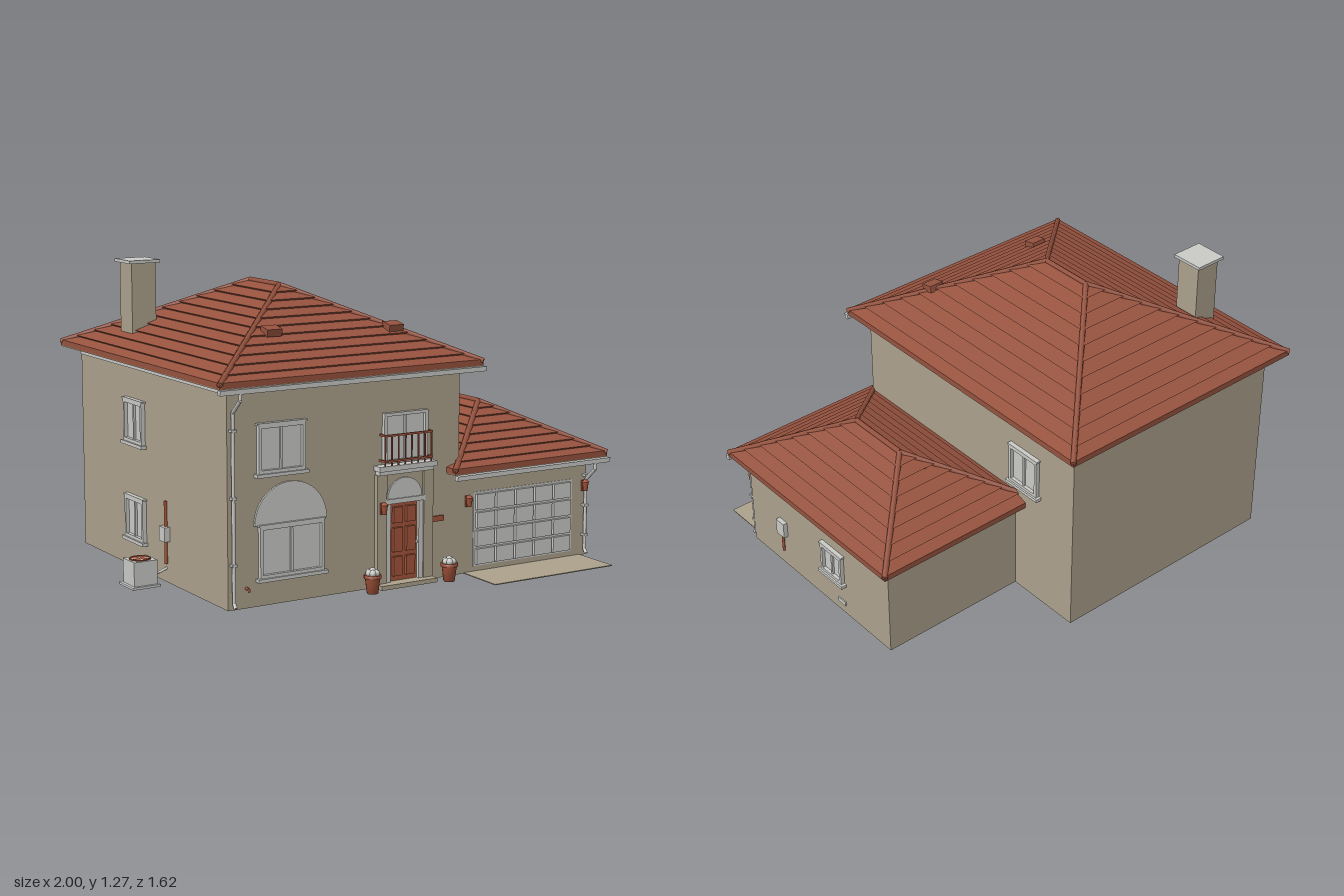
import * as THREE from 'three';

const mat = (name, color) => {
  const m = new THREE.MeshStandardMaterial({ color });
  m.name = name;
  return m;
};

export function createModel() {
  const stucco = mat('stucco', 0xaea28d);
  const trim = mat('paleTrim', 0xcbcbc8);
  const clay = mat('terracotta', 0xa4543b);
  const tile = mat('roofTile', 0x97533f);
  const house = new THREE.Group();
  house.name = 'house';

  const add = (name, geo, m, parent = house) => {
    const mesh = new THREE.Mesh(geo, m);
    mesh.name = name;
    parent.add(mesh);
    return mesh;
  };
  // Box given by its min and max along each axis
  const box = (name, m, x0, x1, y0, y1, z0, z1, parent = house) => {
    const mesh = add(name, new THREE.BoxGeometry(x1 - x0, y1 - y0, z1 - z0), m, parent);
    mesh.position.set((x0 + x1) / 2, (y0 + y1) / 2, (z0 + z1) / 2);
  };
  // Round bar between two points
  const rod = (name, m, a, b, r, sides = 6) => {
    const p = new THREE.Vector3(...a), q = new THREE.Vector3(...b);
    const d = q.clone().sub(p);
    const mesh = add(name, new THREE.CylinderGeometry(r, r, d.length(), sides), m);
    mesh.position.copy(p).add(q).multiplyScalar(0.5);
    mesh.quaternion.setFromUnitVectors(new THREE.Vector3(0, 1, 0), d.normalize());
  };
  const pipe = (name, m, pts, r) => {
    for (let i = 1; i < pts.length; i++) rod(name, m, pts[i - 1], pts[i], r, 8);
  };
  const halfDisc = (name, m, x, y, z, r, depth) => {
    const s = new THREE.Shape();
    s.absarc(0, 0, r, 0, Math.PI);
    s.closePath();
    const geo = new THREE.ExtrudeGeometry(s, { depth, bevelEnabled: false, curveSegments: 24 });
    add(name, geo, m).position.set(x, y, z);
  };

  // Hollow wall shell, open below
  const walls = (name, x0, x1, z0, z1, h) => {
    const t = 0.012;
    box(name, stucco, x0, x1, 0, h, z1 - t, z1);
    box(name, stucco, x0, x1, 0, h, z0, z0 + t);
    box(name, stucco, x0, x0 + t, 0, h, z0 + t, z1 - t);
    box(name, stucco, x1 - t, x1, 0, h, z0 + t, z1 - t);
  };

  // Hip roof of overlapping tile courses with ridge and hip caps
  const hipRoof = (name, x0, x1, z0, z1, r0, r1, eave, top, n) => {
    const cx = (x0 + x1) / 2, L = THREE.MathUtils.lerp, base = eave + 0.013;
    const ring = (t, y) => {
      const a = L(x0, cx, t), b = L(x1, cx, t), c = L(z0, r0, t), d = L(z1, r1, t);
      return [[a, y, d], [b, y, d], [b, y, c], [a, y, c]];
    };
    const rings = [ring(0, eave)];
    for (let i = 0; i < n; i++) {
      const t = Math.max(0, i - 0.15) / n;
      rings.push(ring(t, L(base, top, t) + 0.011));
      rings.push(ring((i + 1) / n, L(base, top, (i + 1) / n)));
    }
    const pos = [];
    for (let i = 1; i < rings.length; i++) {
      for (let k = 0; k < 4; k++) {
        const j = (k + 1) % 4, lo = rings[i - 1], hi = rings[i];
        pos.push(...lo[k], ...lo[j], ...hi[j], ...lo[k], ...hi[j], ...hi[k]);
      }
    }
    const geo = new THREE.BufferGeometry();
    geo.setAttribute('position', new THREE.Float32BufferAttribute(pos, 3));
    geo.computeVertexNormals();
    add(name + 'Tiles', geo, tile);
    const a = [cx, top, r0], b = [cx, top, r1];
    rod(name + 'RidgeCap', tile, a, b, 0.012);
    for (const x of [x0, x1]) {
      rod(name + 'HipCap', tile, [x, base + 0.004, z0], a, 0.012);
      rod(name + 'HipCap', tile, [x, base + 0.004, z1], b, 0.012);
    }
    box(name + 'Soffit', stucco, x0 + 0.002, x1 - 0.002, eave - 0.004, eave + 0.004, z0 + 0.002, z1 - 0.002);
  };

  // Main block and garage
  walls('mainWalls', -0.82, 0.26, -0.735, 0.583, 0.875);
  walls('garageWalls', 0.255, 0.93, -0.385, 0.581, 0.435);
  hipRoof('mainRoof', -0.885, 0.33, -0.805, 0.65, -0.2, 0.045, 0.88, 1.187, 11);
  hipRoof('garageRoof', 0.2, 0.99, -0.447, 0.645, -0.045, 0.25, 0.437, 0.655, 8);

  // Frieze boards under the eaves
  const frieze = (x0, x1, z0, z1, y0, y1) => {
    box('frieze', trim, x0, x1, y0, y1, z1, z1 + 0.004);
    box('frieze', trim, x1, x1 + 0.004, y0, y1, z0, z1);
    box('frieze', trim, x0 - 0.004, x0, y0, y1, z0, z1);
  };
  frieze(-0.82, 0.26, -0.735, 0.583, 0.845, 0.876);
  frieze(0.265, 0.93, -0.385, 0.581, 0.41, 0.434);

  // Gutters and downspouts
  for (const [x0, x1, y, px] of [[-0.89, 0.335, 0.877, -0.8], [0.2, 0.99, 0.434, 0.918]]) {
    box('gutter', trim, x0, x1, y - 0.02, y, 0.643, 0.664);
    box('gutterLip', trim, x0, x1, y - 0.006, y, 0.664, 0.668);
    pipe('downspout', trim, [[px, y - 0.02, 0.656], [px, y - 0.045, 0.656], [px, y - 0.1, 0.595], [px, 0.03, 0.595], [px, 0.012, 0.607]], 0.0075);
    for (const s of [0.2, 0.5, 0.8]) box('pipeBracket', trim, px - 0.011, px + 0.011, y * s, y * s + 0.01, 0.58, 0.605);
  }

  // Chimney
  box('chimneyStack', stucco, -0.742, -0.63, 0.9, 1.263, -0.497, -0.384);
  box('chimneyCap', trim, -0.757, -0.615, 1.262, 1.275, -0.515, -0.371);

  // Roof vents
  for (const [x, y, z] of [[-0.5, 1.045, 0.37], [0.055, 1.03, 0.398]]) {
    const v = add('roofVent', new THREE.BoxGeometry(0.068, 0.03, 0.056), tile);
    v.position.set(x, y, z);
    v.rotation.x = 0.2;
  }

  // Window facing +z, turned to its wall
  const windowUnit = (x, y, z, w, h, turn = 0, sill = true) => {
    const g = new THREE.Group();
    g.name = 'window';
    g.position.set(x, y, z);
    g.rotation.y = turn;
    house.add(g);
    const a = w / 2, b = h / 2, f = 0.013;
    box('glass', trim, -a, a, -b, b, -0.018, 0.003, g);
    for (const s of [-1, 1]) {
      box('jamb', trim, s * (a - f / 2) - f / 2, s * (a - f / 2) + f / 2, -b, b, 0, 0.018, g);
      box('rail', trim, -a + f, a - f, s * (b - f / 2) - f / 2, s * (b - f / 2) + f / 2, 0, 0.018, g);
    }
    box('mullion', trim, -0.005, 0.005, -b + f, b - f, 0, 0.012, g);
    if (sill) {
      box('sill', trim, -a - 0.012, a + 0.012, -b - 0.014, -b, -0.018, 0.026, g);
      box('lintel', trim, -a - 0.006, a + 0.006, b, b + 0.008, 0, 0.02, g);
    }
  };
  windowUnit(-0.585, 0.622, 0.583, 0.21, 0.19);
  windowUnit(-0.54, 0.215, 0.583, 0.29, 0.205);
  windowUnit(-0.01, 0.61, 0.583, 0.21, 0.205, 0, false);
  windowUnit(0.26, 0.63, -0.445, 0.17, 0.175, Math.PI / 2);
  windowUnit(0.93, 0.23, -0.012, 0.14, 0.135, Math.PI / 2);
  for (const y of [0.625, 0.215]) windowUnit(-0.82, y, -0.205, 0.17, 0.175, -Math.PI / 2);
  halfDisc('windowArch', trim, -0.542, 0.322, 0.58, 0.163, 0.012);

  // Entrance surround
  const cx = -0.015;
  for (const s of [-1, 1]) {
    const p = cx + s * 0.112, q = cx + s * 0.08;
    box('pilaster', stucco, p - 0.023, p + 0.023, 0, 0.465, 0.575, 0.605);
    box('doorJamb', trim, q - 0.012, q + 0.012, 0.015, 0.345, 0.575, 0.6);
  }
  box('portalHead', stucco, cx - 0.09, cx + 0.09, 0.36, 0.465, 0.575, 0.593);
  box('doorLintel', trim, cx - 0.095, cx + 0.095, 0.342, 0.362, 0.575, 0.606);
  halfDisc('fanlight', trim, cx, 0.362, 0.592, 0.083, 0.008);
  box('lowerCornice', trim, cx - 0.13, cx + 0.13, 0.465, 0.482, 0.575, 0.615);
  box('upperCornice', trim, cx - 0.138, cx + 0.138, 0.482, 0.503, 0.575, 0.628);
  box('doorStep', stucco, cx - 0.135, cx + 0.135, 0, 0.018, 0.575, 0.64);

  // Panelled front door
  box('frontDoor', clay, cx - 0.068, cx + 0.068, 0.018, 0.342, 0.565, 0.586);
  for (const s of [-1, 1]) for (const [y0, y1] of [[0.04, 0.12], [0.14, 0.24], [0.26, 0.325]]) {
    const x = cx + s * 0.031;
    box('doorPanel', clay, x - 0.021, x + 0.021, y0, y1, 0.586, 0.6);
  }
  add('doorKnob', new THREE.SphereGeometry(0.007, 8, 6), trim).position.set(0.044, 0.17, 0.594);

  // Balcony railing
  const bx0 = -0.125, bx1 = 0.097, bz = 0.622;
  for (const y of [0.522, 0.626]) {
    box('balconyRail', clay, bx0, bx1, y - 0.004, y + 0.004, bz - 0.004, bz + 0.004);
    for (const x of [bx0, bx1]) box('balconySideRail', clay, x - 0.004, x + 0.004, y - 0.004, y + 0.004, 0.583, bz + 0.004);
  }
  for (let i = 0; i <= 7; i++) {
    const x = THREE.MathUtils.lerp(bx0, bx1, i / 7);
    rod('baluster', clay, [x, 0.503, bz], [x, 0.626, bz], 0.0035);
  }

  // Sectional garage door
  box('garageDoor', trim, 0.337, 0.853, 0.025, 0.34, 0.565, 0.584);
  for (let r = 0; r < 4; r++) for (let c = 0; c < 5; c++) {
    const x = 0.347 + c * 0.1, y = 0.034 + r * 0.077;
    box('garagePanel', trim, x, x + 0.09, y, y + 0.066, 0.584, 0.598);
  }
  box('driveway', stucco, 0.29, 0.9, 0, 0.004, 0.583, 0.805);

  // Wall lanterns and plaque
  for (const [x, y] of [[0.303, 0.305], [0.912, 0.305], [-0.13, 0.328]]) {
    const z = x < 0 ? 0.605 : 0.581;
    box('lanternPlate', clay, x - 0.008, x + 0.008, y - 0.022, y + 0.025, z, z + 0.008);
    add('lanternBody', new THREE.CylinderGeometry(0.014, 0.009, 0.038, 6), clay).position.set(x, y, z + 0.02);
    add('lanternCap', new THREE.ConeGeometry(0.018, 0.014, 6), clay).position.set(x, y + 0.026, z + 0.02);
  }
  box('plaque', clay, 0.122, 0.184, 0.24, 0.263, 0.58, 0.59);

  // Potted plants
  const profile = [[0, 0], [0.023, 0], [0.031, 0.062], [0.036, 0.062], [0.036, 0.076], [0.03, 0.076], [0, 0.072]]
    .map(([x, y]) => new THREE.Vector2(x, y));
  for (const x of [-0.2, 0.172]) {
    add('flowerPot', new THREE.LatheGeometry(profile, 14), clay).position.set(x, 0, 0.648);
    for (let i = 0; i < 6; i++) {
      const a = i * Math.PI / 3, r = i ? 0.016 : 0;
      add('foliage', new THREE.IcosahedronGeometry(0.015, 1), trim)
        .position.set(x + r * Math.cos(a), 0.084 + (i ? 0 : 0.007), 0.648 + r * Math.sin(a));
    }
  }

  // Cooling unit beside the left wall
  box('unitPad', trim, -1, -0.875, 0, 0.01, -0.015, 0.115);
  box('coolingUnit', trim, -0.987, -0.883, 0.01, 0.11, 0, 0.102);
  const ring = add('fanGuard', new THREE.TorusGeometry(0.042, 0.003, 6, 24), clay);
  ring.rotation.x = Math.PI / 2;
  ring.position.set(-0.935, 0.112, 0.051);
  for (let i = 0; i < 4; i++) {
    const blade = add('fanBlade', new THREE.CircleGeometry(0.04, 6, 0, 1.2).rotateX(-Math.PI / 2), clay);
    blade.position.set(-0.935, 0.112, 0.051);
    blade.rotation.y = i * Math.PI / 2;
  }
  pipe('coolantLine', trim, [[-0.885, 0.045, 0.06], [-0.855, 0.045, 0.06], [-0.815, 0.06, 0.06]], 0.006);

  // Service boxes, conduits, vent and tap
  box('leftServiceBox', trim, -0.845, -0.82, 0.175, 0.235, 0.045, 0.095);
  rod('leftConduit', clay, [-0.827, 0.08, 0.07], [-0.827, 0.34, 0.07], 0.007, 8);
  box('rightServiceBox', trim, 0.93, 0.95, 0.163, 0.235, 0.322, 0.376);
  rod('rightConduit', clay, [0.937, 0.075, 0.35], [0.937, 0.165, 0.35], 0.006, 8);
  box('foundationVent', trim, 0.93, 0.935, 0.042, 0.062, -0.085, -0.035);
  rod('gardenTap', clay, [-0.74, 0.08, 0.58], [-0.74, 0.08, 0.605], 0.006, 8);
  rod('tapSpout', clay, [-0.74, 0.083, 0.604], [-0.74, 0.068, 0.608], 0.005, 8);

  return house;
}
